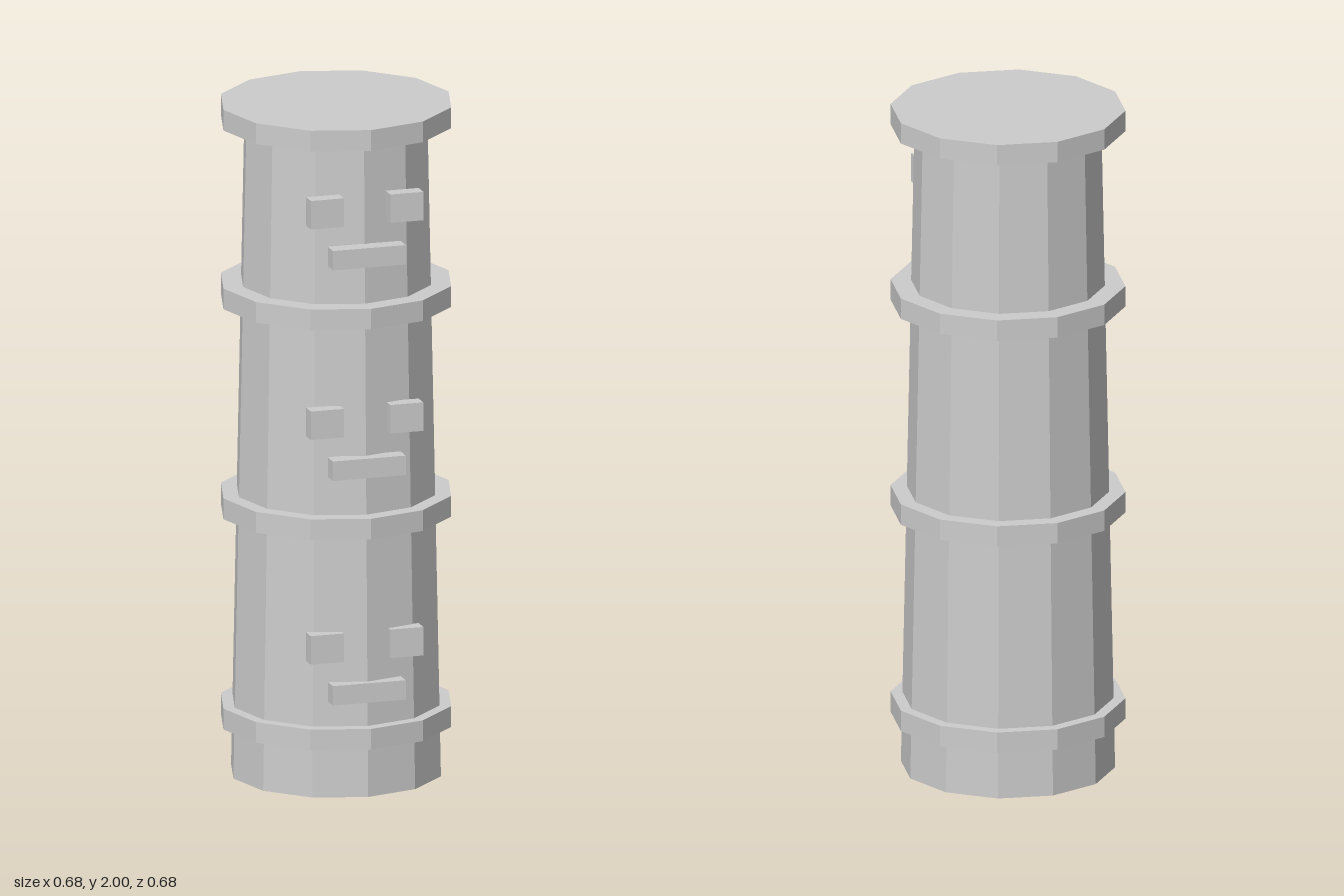
import * as THREE from 'three';

export function createModel() {
  const model = new THREE.Group();
  model.name = 'carvedPole';
  const stone = new THREE.MeshStandardMaterial({ color: 0xcccccc });
  stone.name = 'paleGrey';

  const SIDES = 12;

  function add(parent, name, geometry, x, y, z) {
    // Separate the corners so every facet is flat
    const flat = geometry.toNonIndexed();
    flat.computeVertexNormals();
    const mesh = new THREE.Mesh(flat, stone);
    mesh.name = name;
    mesh.position.set(x, y, z);
    parent.add(mesh);
  }

  // Tapered twelve-sided shaft
  add(model, 'shaft', new THREE.CylinderGeometry(0.27, 0.31, 1.98, SIDES), 0, 0.99, 0);

  // Raised bands, the last one capping the top
  [0.18, 0.808, 1.435, 1.969].forEach((y, i) => {
    const name = i === 3 ? 'topCap' : 'band' + (i + 1);
    add(model, name, new THREE.CylinderGeometry(0.34, 0.34, 0.062, SIDES), 0, y, 0);
  });

  // One face between each pair of bands: two eyes and a mouth
  [0.449, 1.12, 1.749].forEach((y, i) => {
    const face = new THREE.Group();
    face.name = 'face' + (i + 1);
    face.position.y = y;
    for (const side of [1, -1]) {
      const name = side > 0 ? 'leftEye' : 'rightEye';
      add(face, name, new THREE.BoxGeometry(0.1, 0.085, 0.045), side * 0.12, 0, 0.2775);
    }
    add(face, 'mouth', new THREE.BoxGeometry(0.22, 0.058, 0.05), 0, -0.135, 0.297);
    model.add(face);
  });

  return model;
}
